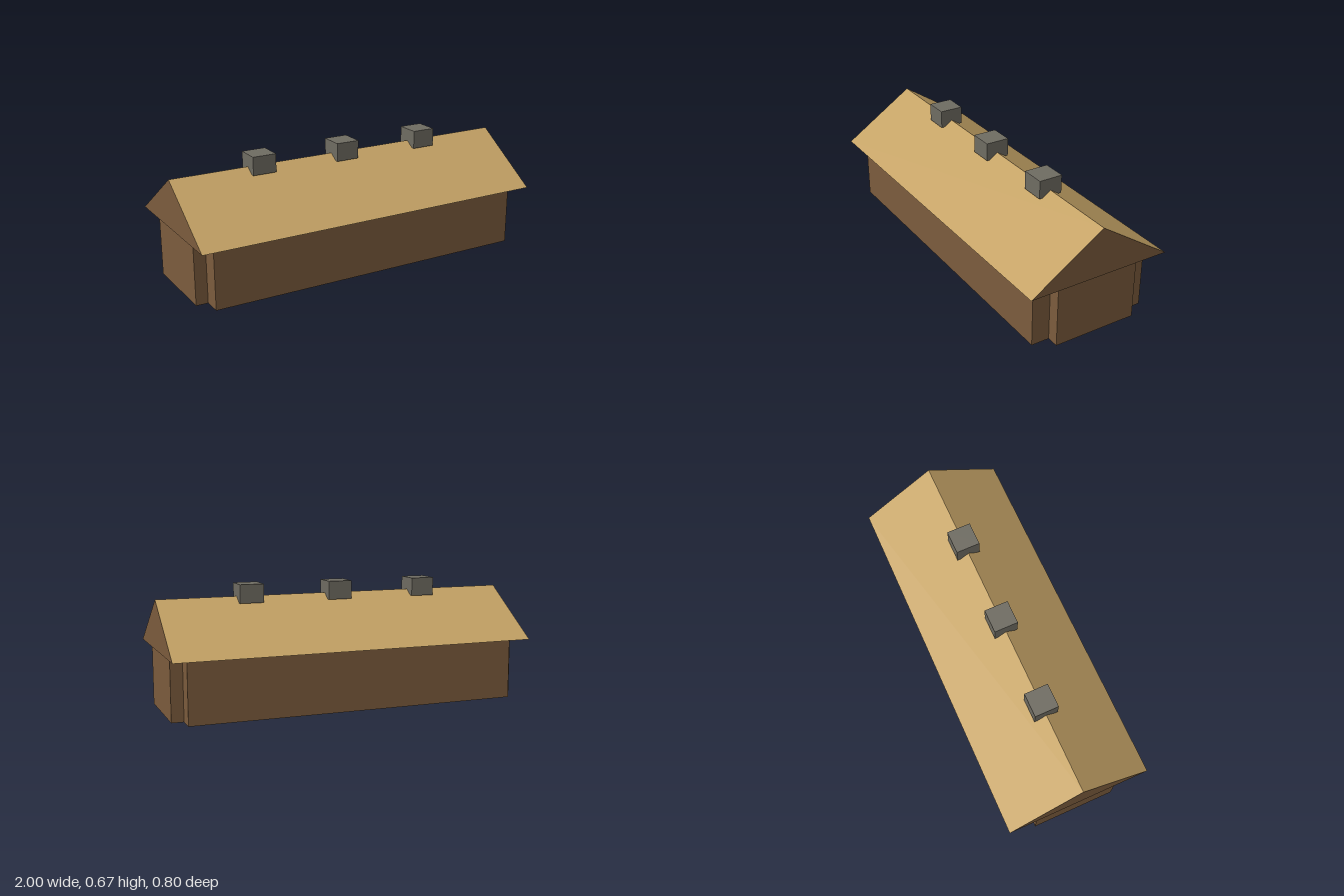
import * as THREE from 'three';

const wood = new THREE.MeshStandardMaterial({ name: 'brown wood', color: 0x7d5d3e });
const gable = new THREE.MeshStandardMaterial({ name: 'brown gable wood', color: 0x7d5d3e, side: THREE.DoubleSide });
const thatch = new THREE.MeshStandardMaterial({ name: 'golden thatch', color: 0xc4a265, side: THREE.DoubleSide });
const stone = new THREE.MeshStandardMaterial({ name: 'grey stone', color: 0x706d63 });

const EAVE = 0.335, RIDGE = 0.6, HALF_DEPTH = 0.4;

export function createModel() {
  const group = new THREE.Group();
  const add = (name, geometry, material, x = 0, y = 0, z = 0) => {
    const mesh = new THREE.Mesh(geometry, material);
    mesh.name = name;
    mesh.position.set(x, y, z);
    group.add(mesh);
    return mesh;
  };

  // Walls: one plan outline with a narrower bay at each end
  const corners = [[0.915, 0.333], [0.915, 0.233], [0.98, 0.233]];
  const quarter = (sx, sz) => corners.map(([x, z]) => new THREE.Vector2(x * sx, z * sz));
  const plan = new THREE.Shape([
    ...quarter(1, -1), ...quarter(1, 1).reverse(),
    ...quarter(-1, 1), ...quarter(-1, -1).reverse(),
  ]);
  const walls = new THREE.ExtrudeGeometry(plan, { depth: EAVE, bevelEnabled: false });
  walls.rotateX(-Math.PI / 2);
  add('walls', walls, wood);

  // Roof: two thin slopes, open underneath
  const rise = RIDGE - EAVE;
  for (const side of [1, -1]) {
    const slope = new THREE.PlaneGeometry(2, Math.hypot(HALF_DEPTH, rise));
    slope.rotateX(-Math.atan2(HALF_DEPTH, rise));
    if (side < 0) slope.rotateY(Math.PI);
    add(side > 0 ? 'frontRoofSlope' : 'backRoofSlope', slope, thatch,
      0, (EAVE + RIDGE) / 2, side * HALF_DEPTH / 2);
  }

  // Triangular gables closing the roof ends
  const triangle = new THREE.Shape([
    new THREE.Vector2(-HALF_DEPTH, EAVE),
    new THREE.Vector2(HALF_DEPTH, EAVE),
    new THREE.Vector2(0, RIDGE),
  ]);
  for (const side of [1, -1]) {
    const end = add(side > 0 ? 'leftGable' : 'rightGable',
      new THREE.ShapeGeometry(triangle), gable, side);
    end.rotation.y = side * Math.PI / 2;
  }

  // Smoke vents straddling the ridge
  for (const x of [-0.5, 0, 0.5]) {
    add('roofVent', new THREE.BoxGeometry(0.132, 0.1, 0.132), stone, x, 0.617, 0);
  }
  return group;
}
